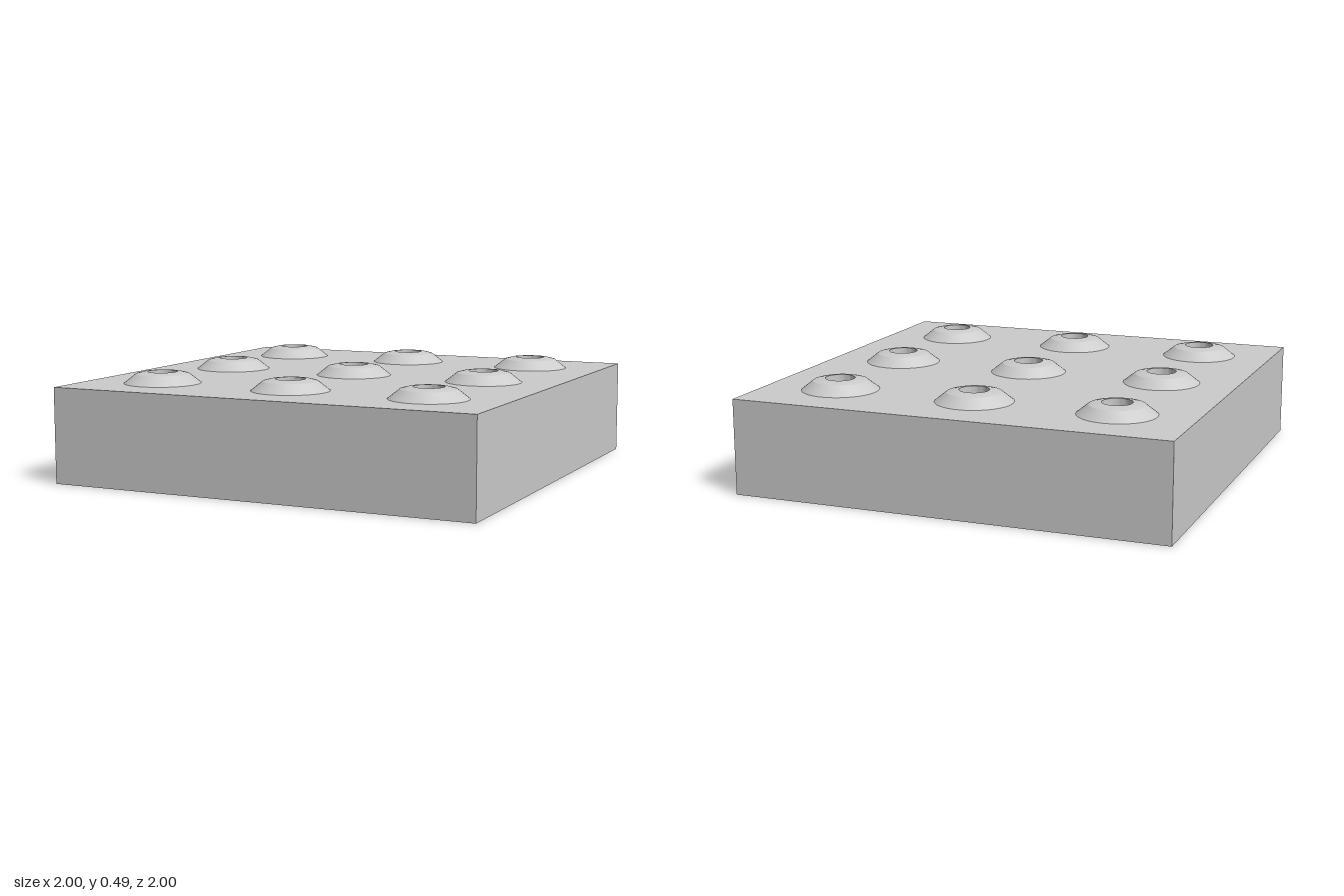
import * as THREE from 'three';
import { toCreasedNormals } from 'three/addons/utils/BufferGeometryUtils.js';

const BASE_HEIGHT = 0.435;
const SPACING = 0.652;

export function createModel() {
  const group = new THREE.Group();
  const material = new THREE.MeshStandardMaterial({ color: 0xcccccc });

  // Square slab
  const slab = new THREE.Mesh(new THREE.BoxGeometry(2, BASE_HEIGHT, 2), material);
  slab.name = 'slab';
  slab.position.y = BASE_HEIGHT / 2;
  group.add(slab);

  // Stud profile: sloped flank, gently rounded rim, then the wall of the centre hole
  const profile = [
    [0.175, 0], [0.122, 0.042], [0.09, 0.05], [0.067, 0.052], [0.067, 0],
  ].map(([r, y]) => new THREE.Vector2(r, y));
  const studGeometry = toCreasedNormals(new THREE.LatheGeometry(profile, 48), 0.3);

  // Three by three grid of studs
  const studs = new THREE.Group();
  studs.name = 'studs';
  for (let row = -1; row <= 1; row++) {
    for (let column = -1; column <= 1; column++) {
      const stud = new THREE.Mesh(studGeometry, material);
      stud.name = 'stud';
      stud.position.set(column * SPACING, BASE_HEIGHT, row * SPACING);
      studs.add(stud);
    }
  }
  group.add(studs);

  return group;
}
